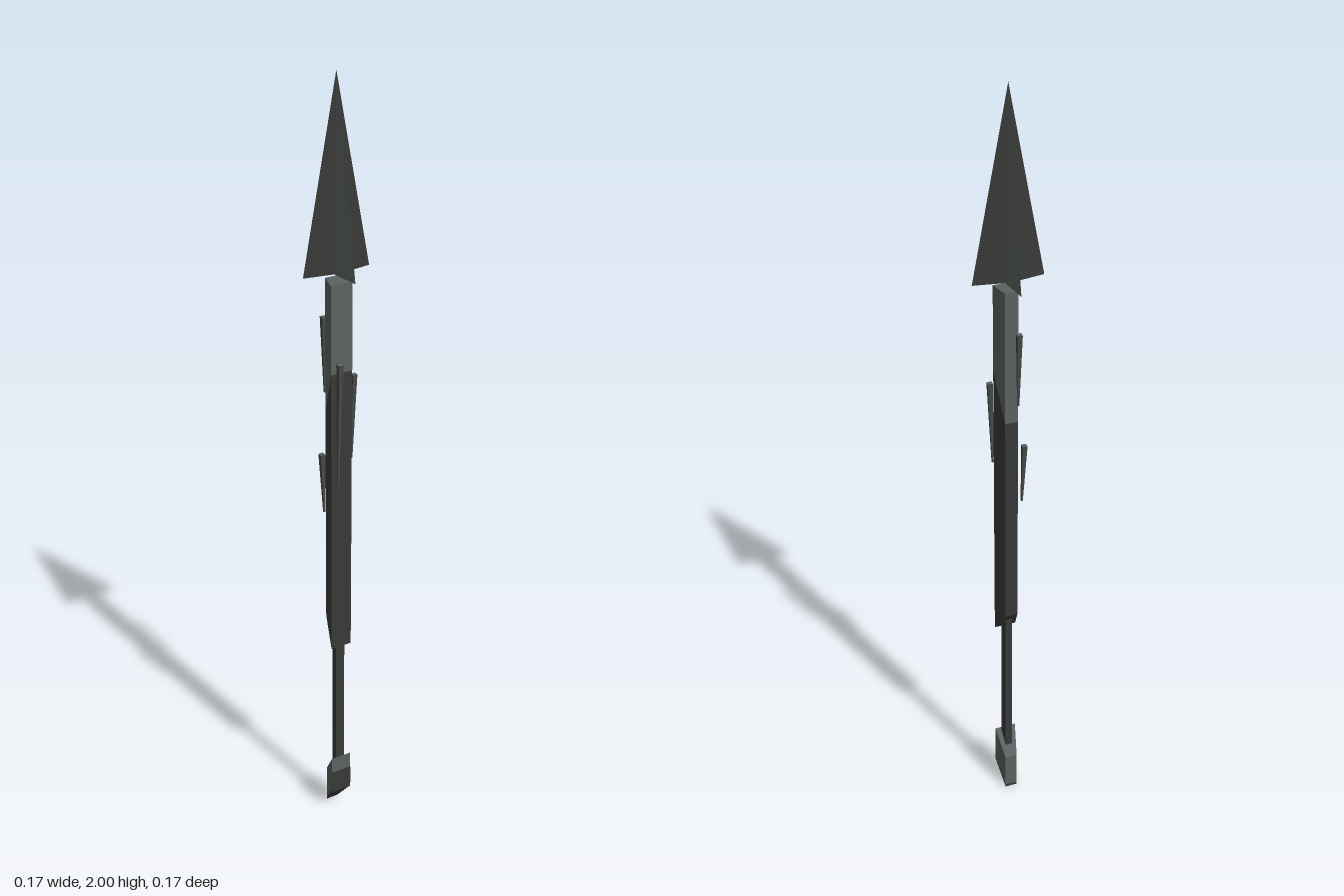
import * as THREE from 'three';

const light = new THREE.MeshStandardMaterial({ name: 'greyGreen', color: 0x5b6260 });
const dark = new THREE.MeshStandardMaterial({ name: 'charcoal', color: 0x393938 });
const mid = new THREE.MeshStandardMaterial({ name: 'slate', color: 0x464948 });
for (const m of [light, dark, mid]) m.flatShading = true;

// Flat-shaded mesh from corner points and convex faces
function facetMesh(name, material, points, faces) {
  const pos = [];
  for (const f of faces)
    for (let i = 1; i < f.length - 1; i++)
      for (const k of [f[0], f[i], f[i + 1]]) pos.push(...points[k]);
  const geo = new THREE.BufferGeometry();
  geo.setAttribute('position', new THREE.Float32BufferAttribute(pos, 3));
  geo.computeVertexNormals();
  const mesh = new THREE.Mesh(geo, material);
  mesh.name = name;
  return mesh;
}

// Trapezoid bar; bottom and top are [front height, back height]
function bar(name, material, bottom, top, [wf, wb, zf, zb]) {
  const ring = ([yf, yb]) => [[-wf, yf, zf], [wf, yf, zf], [wb, yb, zb], [-wb, yb, zb]];
  const faces = [[3, 2, 1, 0], [4, 5, 6, 7]];
  for (let i = 0; i < 4; i++) {
    const j = (i + 1) % 4;
    faces.push([i, j, j + 4, i + 4]);
  }
  return facetMesh(name, material, [...ring(bottom), ...ring(top)], faces);
}

export function createModel() {
  const model = new THREE.Group();
  model.name = 'spear';

  // Four-finned head, alternating colours
  const head = new THREE.Group();
  head.name = 'head';
  const y = 1.55, r = 0.085, q = 0.012;
  const corners = [[0, y, r], [q, y, q], [-q, y, q], [0, y, 0], [0, 2, 0]];
  for (let i = 0; i < 4; i++) {
    const fin = facetMesh('headFin', i % 2 ? dark : light, corners,
      [[0, 1, 4], [2, 0, 4], [1, 0, 3], [0, 2, 3]]);
    fin.rotation.y = i * Math.PI / 2;
    head.add(fin);
  }
  model.add(head);

  // Shaft in two colours, thin rod and slanted pommel
  const section = [0.028, 0.016, 0.025, -0.024];
  model.add(
    bar('upperShaft', light, [1.31, 1.19], [1.53, 1.53], section),
    bar('lowerShaft', dark, [0.54, 0.61], [1.31, 1.19], section),
    bar('rod', dark, [0.12, 0.12], [0.6, 0.6], [0.012, 0.009, 0.02, -0.004]),
    bar('pommel', light, [0.073, 0.008], [0.18, 0.11], section),
    bar('pommelSole', dark, [0.065, 0], [0.073, 0.008], section),
    bar('pommelFrontPlate', dark, [0.066, 0.066], [0.133, 0.133], [0.028, 0.028, 0.027, 0.0245])
  );

  // Tapered barbs: top point, then bottom point
  const barbs = [
    [[-0.013, 1.34, 0.041], [-0.013, 1.02, 0.031]],
    [[-0.013, 1.43, -0.038], [-0.013, 1.24, -0.032]],
    [[0.043, 1.29, 0.007], [0.037, 1.07, 0.007]],
    [[-0.043, 1.1, 0.006], [-0.037, 0.94, 0.006]],
  ];
  for (const [a, b] of barbs) {
    const top = new THREE.Vector3(...a), low = new THREE.Vector3(...b);
    const geo = new THREE.CylinderGeometry(0.0085, 0.003, top.distanceTo(low), 4).rotateY(Math.PI / 4);
    // Sides, pale top end, bottom end
    const barb = new THREE.Mesh(geo, [mid, light, mid]);
    barb.name = 'barb';
    barb.position.copy(top).add(low).multiplyScalar(0.5);
    barb.quaternion.setFromUnitVectors(new THREE.Vector3(0, 1, 0), top.sub(low).normalize());
    model.add(barb);
  }
  return model;
}
